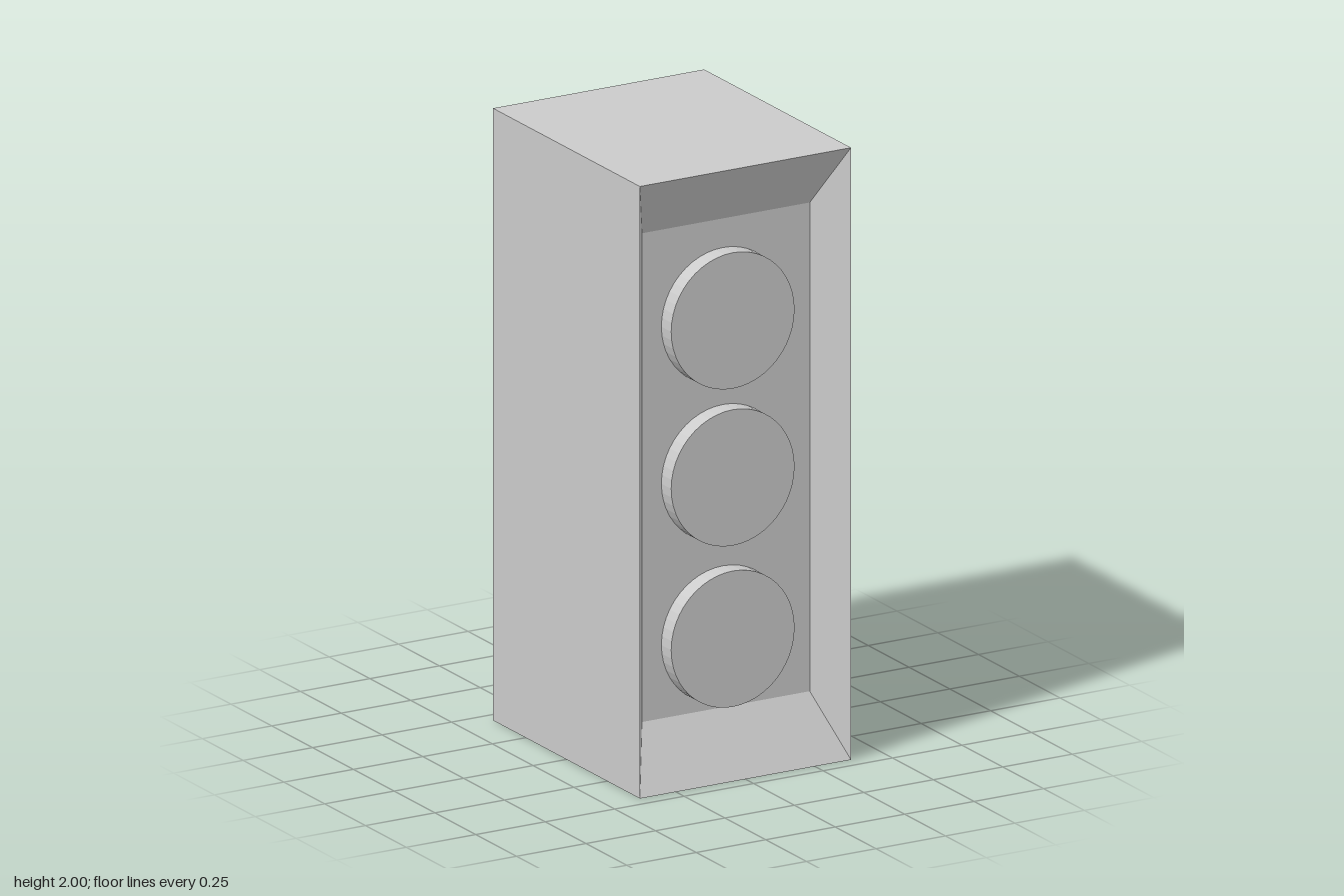
import * as THREE from 'three';

const material = new THREE.MeshStandardMaterial({ color: 0xcccccc, flatShading: true });

// Rectangular cross-section, counter-clockwise seen from the front
const ring = (halfW, bottom, top, z) => [
  [-halfW, bottom, z], [halfW, bottom, z], [halfW, top, z], [-halfW, top, z],
];

// Box cabinet whose open front slopes inward to a recessed panel
function cabinetGeometry() {
  const rings = [
    ring(0.38, 0, 2, -0.45),       // back
    ring(0.38, 0, 2, 0.45),        // front rim
    ring(0.302, 0.203, 1.8, 0.33), // recessed panel
  ];
  const positions = [];
  const quad = (a, b, c, d) => positions.push(...a, ...b, ...c, ...a, ...c, ...d);
  const [b0, b1, b2, b3] = rings[0];
  quad(b3, b2, b1, b0);
  for (let r = 0; r < rings.length - 1; r++) {
    for (let i = 0; i < 4; i++) {
      const j = (i + 1) % 4;
      quad(rings[r][i], rings[r][j], rings[r + 1][j], rings[r + 1][i]);
    }
  }
  quad(...rings[2]);
  const geometry = new THREE.BufferGeometry();
  geometry.setAttribute('position', new THREE.Float32BufferAttribute(positions, 3));
  geometry.computeVertexNormals();
  return geometry;
}

export function createModel() {
  const model = new THREE.Group();
  model.name = 'speaker';

  const cabinet = new THREE.Mesh(cabinetGeometry(), material);
  cabinet.name = 'cabinet';
  model.add(cabinet);

  // Three round drivers standing on the recessed panel
  const discGeometry = new THREE.CylinderGeometry(0.222, 0.222, 0.06, 48).rotateX(Math.PI / 2);
  const drivers = { upperDriver: 1.483, middleDriver: 0.97, lowerDriver: 0.443 };
  for (const [name, y] of Object.entries(drivers)) {
    const driver = new THREE.Mesh(discGeometry, material);
    driver.name = name;
    driver.position.set(-0.01, y, 0.36);
    model.add(driver);
  }
  return model;
}
